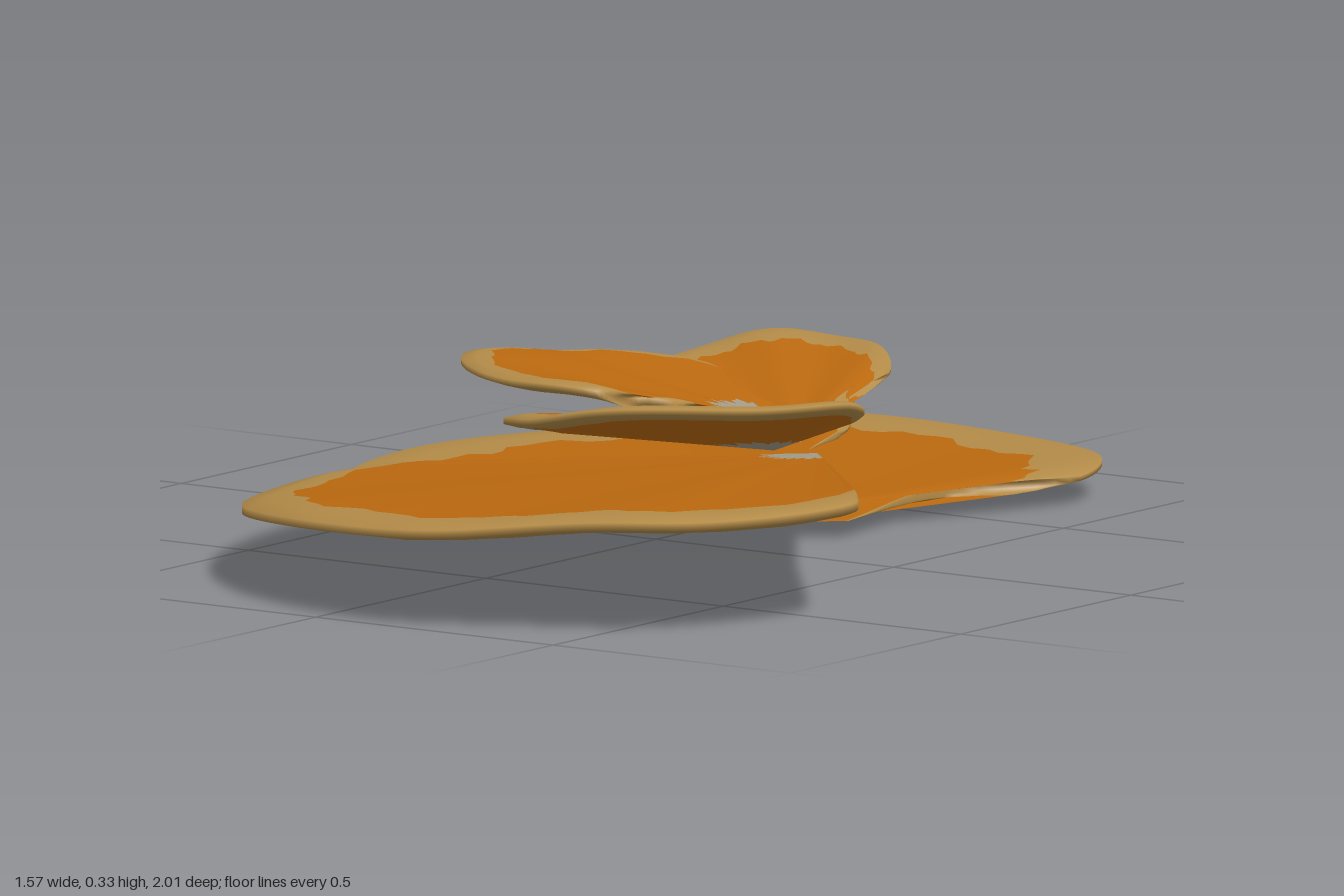
import * as THREE from 'three';

const COLS = 96, STEPS = 10;

function flat(name, color) {
  const m = new THREE.MeshStandardMaterial({ color });
  m.name = name;
  return m;
}

// One cap: a fan of rows from hub to rim on top, then back to the hub underneath.
// The outline runs counter-clockwise seen from above, as [x, z].
// plane = [c, a, b] gives the rim height c + a*x + b*z; dip lowers the cap towards its hub.
function makeCap(name, materials, outline, { hub, plane, dip = 0, thick, rim, core, patch = false }) {
  const curve = new THREE.CatmullRomCurve3(outline.map(([x, z]) => new THREE.Vector3(x, 0, z)), false, 'centripetal');
  const half = STEPS + 4;              // rows per side
  const rows = half * 2;
  const pos = [];
  for (let j = 0; j <= COLS; j++) {
    const t = j / COLS, end = Math.min(t, 1 - t);
    const p = curve.getPoint(t);
    const dx = p.x - hub[0], dz = p.z - hub[1], len = Math.hypot(dx, dz);

    // Rim and core borders, slightly wavy; the rim fades out at the attached sides
    const taper = THREE.MathUtils.clamp((end - 0.08) * 9, 0.02, 1);
    const wave = 1 + 0.12 * Math.sin(j * 0.9) + 0.08 * Math.sin(j * 2.1);
    const s1 = 1 - Math.min(0.5, (rim * taper * wave) / len);
    const s0 = Math.min(0.4 * s1, (core * wave) / len);
    const levels = [0];
    for (let k = 0; k <= STEPS; k++) levels.push(s0 + ((s1 - s0) * k) / STEPS);
    levels.push((s1 + 1) / 2, 1);

    const body = (thick / 2) * Math.min(1, end * 12);
    for (let i = 0; i < rows; i++) {
      const top = i < half, k = top ? i : rows - 1 - i;
      const s = levels[k];
      const x = hub[0] + dx * s, z = hub[1] + dz * s;
      const edge = k === half - 1 ? 0.4 : k === half - 2 ? 0.85 : 1;
      const ripple = 0.004 * s * Math.sin(t * 34) * Math.min(1, end * 6);
      const bowl = dip * (Math.min(1, (s * len) / 0.4) - 1);
      const y = plane[0] + plane[1] * x + plane[2] * z + bowl + ripple;
      pos.push(x, y + (top ? 1 : -1) * body * edge, z);
    }
  }

  // Sort the faces by colour: 0 flesh, 1 rim, 2 core
  const faces = [[], [], []];
  for (let j = 0; j < COLS; j++) {
    const t = j / COLS;
    for (let i = 0; i < rows - 1; i++) {
      const k = i < half ? i : rows - 2 - i;
      let c = k >= STEPS + 1 ? 1 : k === 0 ? 2 : 0;
      if (patch && (k === 5 || k === 6) && t > 0.49 && t < 0.69) c = 1;
      const a = j * rows + i, b = a + rows;
      faces[c].push(a, a + 1, b + 1, a, b + 1, b);
    }
  }
  const geo = new THREE.BufferGeometry();
  geo.setAttribute('position', new THREE.Float32BufferAttribute(pos, 3));
  geo.setIndex(faces.flat());
  let start = 0;
  faces.forEach((f, c) => {
    geo.addGroup(start, f.length, c);
    start += f.length;
  });
  geo.computeVertexNormals();
  const mesh = new THREE.Mesh(geo, materials);
  mesh.name = name;
  return mesh;
}

export function createModel() {
  const group = new THREE.Group();
  group.name = 'bracketFungus';
  const materials = [flat('orangeFlesh', 0xbb690f), flat('tanRim', 0xb38b48), flat('greyCore', 0xa39c8a)];

  // Two broad lower caps
  group.add(makeCap('lowerBackCap', materials,
    [[0.26, -0.2], [0.25, -0.5], [0.38, -0.72], [0.31, -0.87], [-0.02, -1], [-0.35, -0.97], [-0.57, -0.79],
      [-0.75, -0.48], [-0.785, -0.22], [-0.62, 0.08], [-0.51, 0.14], [-0.25, 0.06], [0, -0.02]],
    { hub: [0.12, -0.12], plane: [0.026, 0.01, -0.033], thick: 0.022, rim: 0.15, core: 0.03, patch: true }));
  group.add(makeCap('lowerFrontCap', materials,
    [[0.2, -0.2], [-0.1, 0.03], [-0.45, 0.12], [-0.51, 0.23], [-0.42, 0.62], [-0.17, 0.89], [0.2, 1],
      [0.45, 0.92], [0.66, 0.81], [0.78, 0.51], [0.69, 0.39], [0.48, 0.14], [0.29, -0.12]],
    { hub: [0.24, -0.14], plane: [0.127, 0.0775, 0.03], thick: 0.036, rim: 0.1, core: 0.09 }));

  // Three small upper caps
  group.add(makeCap('upperFrontCap', materials,
    [[0.18, -0.03], [0, 0.2], [-0.08, 0.32], [0.05, 0.46], [0.26, 0.54], [0.5, 0.42], [0.59, 0.26],
      [0.56, 0.17], [0.46, 0.14], [0.32, 0.07], [0.27, -0.02]],
    { hub: [0.22, -0.04], plane: [0.209, 0.134, 0.1365], dip: 0.045, thick: 0.025, rim: 0.055, core: 0.1 }));
  group.add(makeCap('upperSideCap', materials,
    [[0.21, -0.15], [0, -0.22], [-0.11, -0.31], [-0.27, -0.16], [-0.32, -0.02], [-0.26, 0.21], [-0.03, 0.37],
      [0.12, 0.34], [0.13, 0.25], [0.17, 0.18], [0.16, 0.08], [0.2, 0]],
    { hub: [0.18, -0.07], plane: [0.283, -0.053, 0.107], dip: 0.05, thick: 0.025, rim: 0.05, core: 0.09 }));
  group.add(makeCap('upperBackCap', materials,
    [[0.28, -0.06], [0.28, -0.17], [0.17, -0.34], [0.17, -0.45], [0.06, -0.55], [-0.1, -0.56], [-0.2, -0.47],
      [-0.22, -0.3], [-0.05, -0.16], [0.2, -0.04]],
    { hub: [0.22, -0.1], plane: [0.178, -0.03, -0.18], thick: 0.014, rim: 0.07, core: 0.08 }));

  // Rest the lowest cap on the ground
  const low = new THREE.Box3().setFromObject(group, true).min.y;
  group.children.forEach((m) => m.geometry.translate(0, -low, 0));
  return group;
}
